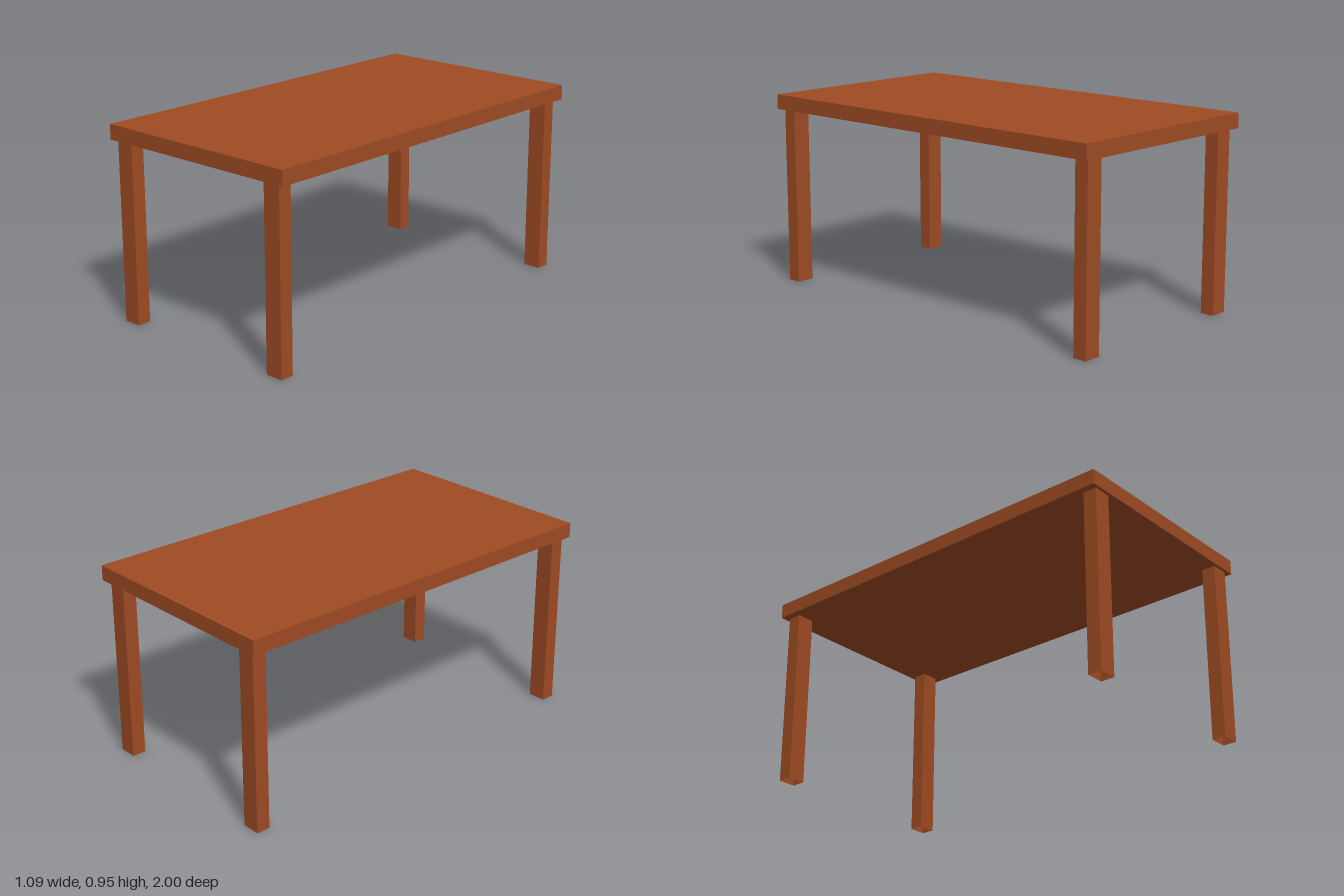
import * as THREE from 'three';

const TOP_Y = 0.955, UNDER_Y = 0.882;

// Square tube: a box without its top and bottom faces
function tubeGeometry(w, h, d) {
  const geo = new THREE.BoxGeometry(w, h, d);
  const index = Array.from(geo.index.array);
  index.splice(12, 12);
  geo.setIndex(index);
  geo.clearGroups();
  return geo;
}

export function createModel() {
  const group = new THREE.Group();
  group.name = 'table';
  const wood = new THREE.MeshStandardMaterial({ color: 0x9f4b23, side: THREE.DoubleSide });
  wood.name = 'reddish brown wood';

  // Table top
  const top = new THREE.Mesh(new THREE.BoxGeometry(1.092, TOP_Y - UNDER_Y, 2), wood);
  top.name = 'tableTop';
  top.position.y = (TOP_Y + UNDER_Y) / 2;
  group.add(top);

  // Four legs, open at the foot; the back pair sits slightly further in
  const legGeo = tubeGeometry(0.09, UNDER_Y, 0.069);
  for (const [end, z] of [['front', 0.95], ['back', -0.942]]) {
    for (const [side, x] of [['Left', 0.466], ['Right', -0.466]]) {
      const leg = new THREE.Mesh(legGeo, wood);
      leg.name = `${end}${side}Leg`;
      leg.position.set(x, UNDER_Y / 2, z);
      group.add(leg);
    }
  }
  return group;
}
